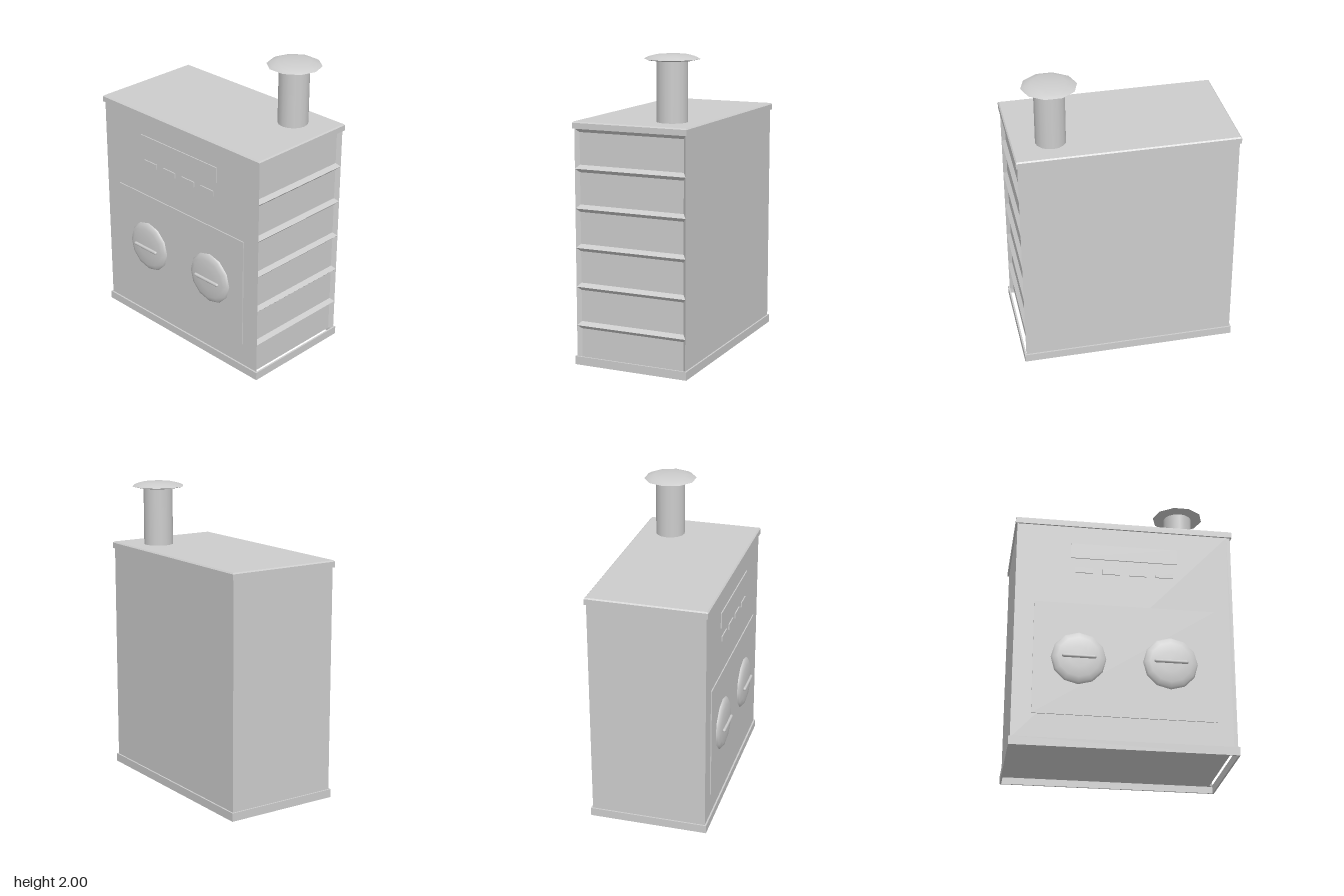
import * as THREE from 'three';
import { toCreasedNormals } from 'three/addons/utils/BufferGeometryUtils.js';

const metal = new THREE.MeshStandardMaterial({ color: 0xcccccc });
metal.name = 'grey metal';

// Cabinet limits
const X = 0.71, FRONT = 0.362, BACK = -0.402, RECESS = 0.025;
const LID_Y = 1.535, BASE_Y = 0.055, MID_Z = (FRONT + BACK) / 2;

export function createModel() {
  const model = new THREE.Group();
  model.name = 'boiler';

  const add = (name, geometry, x = 0, y = 0, z = 0, parent = model) => {
    const mesh = new THREE.Mesh(geometry, metal);
    mesh.name = name;
    mesh.position.set(x, y, z);
    parent.add(mesh);
    return mesh;
  };
  const polygon = (pts) => new THREE.Shape(pts.map(([x, y]) => new THREE.Vector2(x, y)));
  const prism = (shape, depth) => new THREE.ExtrudeGeometry(shape, { depth, bevelEnabled: false });
  const rect = (w, d) => [[-w, -d], [w, -d], [w, d], [-w, d]];

  // Cabinet, with its right side set back for the ribs
  add('cabinet', new THREE.BoxGeometry(2 * X - RECESS, LID_Y - BASE_Y + 0.01, FRONT - BACK),
    -RECESS / 2, (LID_Y + BASE_Y - 0.01) / 2, MID_Z);

  // Chamfered corner posts framing the ribbed side
  const inner = X - RECESS;
  const postHeight = LID_Y - BASE_Y + 0.01;
  const frontPost = prism(polygon([[inner, -FRONT], [X, -FRONT], [inner, -FRONT + 0.023]]), postHeight);
  const backPost = prism(polygon([[inner, -BACK], [inner, -BACK - 0.023], [X, -BACK]]), postHeight);
  add('frontPost', frontPost.rotateX(-Math.PI / 2), 0, BASE_Y - 0.01);
  add('backPost', backPost.rotateX(-Math.PI / 2), 0, BASE_Y - 0.01);

  // Horizontal ribs with a triangular section
  const rib = prism(polygon([[inner, -0.024], [X, 0], [inner, 0.024]]), FRONT - BACK - 0.004);
  for (let i = 1; i <= 6; i++) add('sideRib', rib, 0, 0.005 + i * 0.255, BACK + 0.002);

  // Thin open skirt around the foot
  const skirt = polygon(rect(0.72, 0.393));
  skirt.holes.push(new THREE.Path(rect(0.709, 0.381).map(([x, y]) => new THREE.Vector2(x, y))));
  add('baseSkirt', prism(skirt, BASE_Y).rotateX(-Math.PI / 2), 0, 0, MID_Z);

  // Lid with a small chamfer on its upper edge
  const lid = new THREE.BoxGeometry(1.44, 0.045, 0.786, 1, 2, 1);
  const p = lid.attributes.position;
  for (let i = 0; i < p.count; i++) {
    if (Math.abs(p.getY(i)) < 0.001) p.setY(i, 0.0145);
    else if (p.getY(i) > 0) {
      p.setX(i, p.getX(i) - Math.sign(p.getX(i)) * 0.008);
      p.setZ(i, p.getZ(i) - Math.sign(p.getZ(i)) * 0.008);
    }
  }
  add('lid', toCreasedNormals(lid, 0.3), 0, LID_Y + 0.0225, MID_Z);

  // Thin plates on the front: door, display and four buttons
  const plate = (name, x0, x1, y0, y1) =>
    add(name, new THREE.BoxGeometry(x1 - x0, y1 - y0, 0.008), (x0 + x1) / 2, (y0 + y1) / 2, FRONT + 0.003);
  plate('doorPanel', -0.585, 0.585, 0.212, 0.975);
  plate('display', -0.355, 0.347, 1.305, 1.41);
  for (let i = 0; i < 4; i++) plate('button', -0.325 + i * 0.176, -0.21 + i * 0.176, 1.2, 1.236);

  // Domed round hatches with bar handles
  const dome = [[0.176, 0], [0.176, 0.01], [0.165, 0.022], [0.135, 0.033], [0.07, 0.039], [0, 0.04]];
  const hatchShape = new THREE.LatheGeometry(dome.map(([r, y]) => new THREE.Vector2(r, y)), 12);
  hatchShape.rotateX(Math.PI / 2);
  const bar = new THREE.CapsuleGeometry(0.0115, 0.196, 3, 8).rotateZ(Math.PI / 2);
  for (const x of [-0.297, 0.29]) {
    const hatch = new THREE.Group();
    hatch.name = 'hatch';
    hatch.position.set(x, 0.593, FRONT);
    model.add(hatch);
    add('hatchDome', hatchShape, 0, 0, 0, hatch);
    add('hatchHandle', bar, 0, 0, 0.043, hatch);
  }

  // Flue pipe and its ten-sided cap
  const flue = new THREE.Group();
  flue.name = 'flue';
  flue.position.set(0.467, 0, -0.2);
  model.add(flue);
  add('fluePipe', new THREE.CylinderGeometry(0.0985, 0.0985, 0.4, 16, 1, true), 0, 1.77, 0, flue);
  const cap = [[0, 1.964], [0.145, 1.964], [0.176, 1.972], [0.155, 1.984], [0.11, 1.997], [0, 2]];
  const capShape = new THREE.LatheGeometry(cap.map(([r, y]) => new THREE.Vector2(r, y)), 10);
  capShape.rotateY(Math.PI / 2);
  add('flueCap', toCreasedNormals(capShape, 0.7), 0, 0, 0, flue);

  return model;
}
